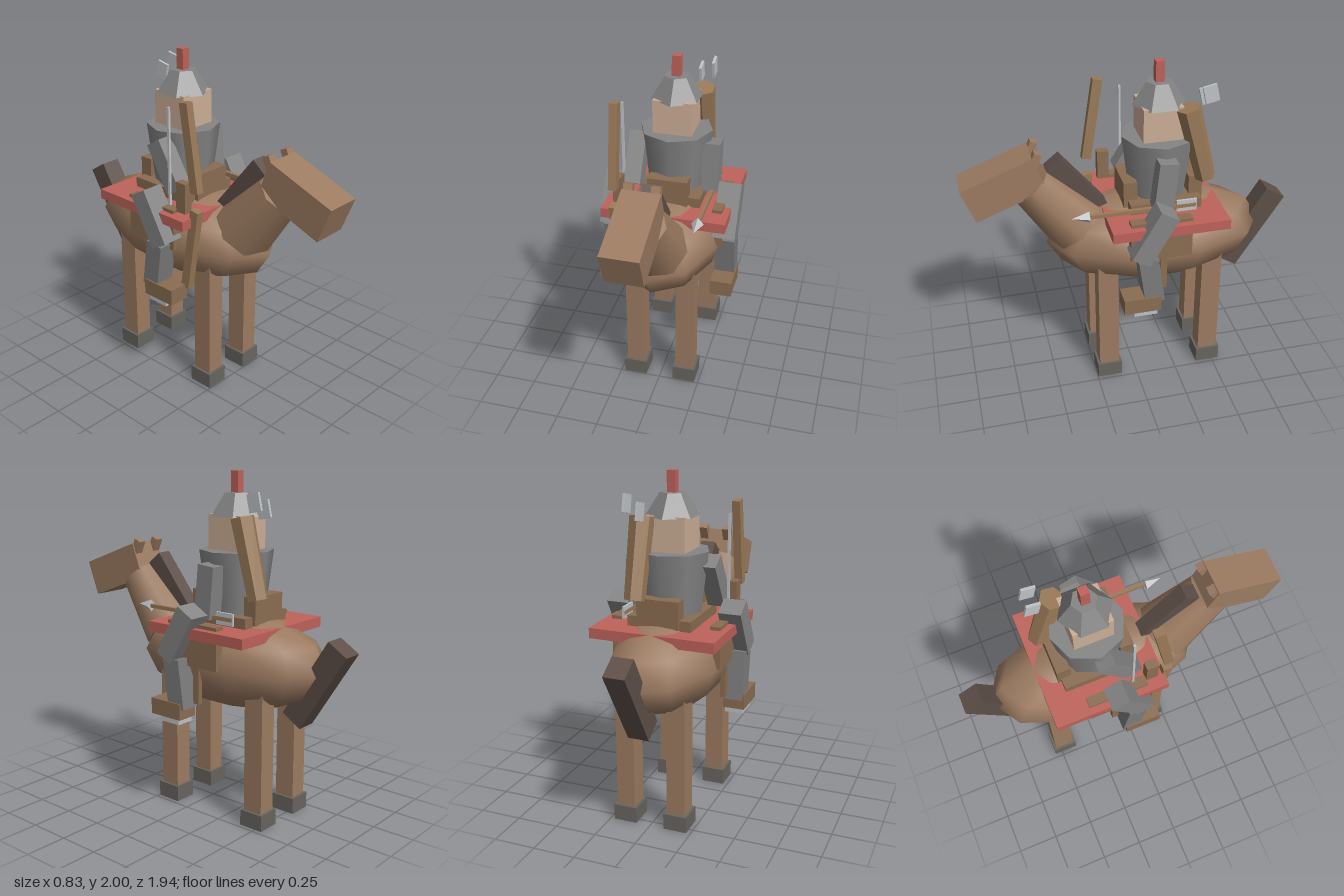
import * as THREE from 'three';

const C = {
  hide: 0x9c7b61, mane: 0x5e4f48, hoof: 0x686560, red: 0xbe625a, leather: 0x8a6d52,
  wood: 0x9a7a58, grey: 0x858585, dark: 0x7c7c7c, skin: 0xccae96, pale: 0xbfc3c6,
};

function add(parent, name, geometry, color, pos, rotX = 0, flat = true) {
  const material = new THREE.MeshStandardMaterial({ color, flatShading: flat });
  const mesh = new THREE.Mesh(geometry, material);
  mesh.name = name;
  mesh.position.set(...pos);
  mesh.rotation.x = rotX;
  parent.add(mesh);
  return mesh;
}

function box(parent, name, color, size, pos, rotX = 0) {
  return add(parent, name, new THREE.BoxGeometry(...size), color, pos, rotX);
}

function group(parent, name) {
  const g = new THREE.Group();
  g.name = name;
  parent.add(g);
  return g;
}

function buildHorse(root) {
  const horse = group(root, 'horse');

  // Barrel-shaped body, with a ring vertex at nose and tail ends
  const body = new THREE.SphereGeometry(1, 10, 6).rotateY(Math.PI / 2).scale(0.33, 0.28, 0.66);
  add(horse, 'body', body, C.hide, [0, 0.92, -0.16], 0, false);

  // Neck, head, mane and tail
  add(horse, 'neck', new THREE.CylinderGeometry(0.137, 0.19, 0.4, 8), C.hide, [0, 1.183, 0.443], 0.7, false);
  box(horse, 'head', C.hide, [0.214, 0.216, 0.435], [0, 1.357, 0.73], 0.365);
  box(horse, 'mane', C.mane, [0.09, 0.42, 0.11], [0, 1.29, 0.31], 0.68);
  box(horse, 'tail', C.mane, [0.124, 0.537, 0.137], [0, 0.87, -0.765], -0.56);

  for (const s of [1, -1]) {
    box(horse, 'ear', C.hide, [0.05, 0.08, 0.045], [s * 0.075, 1.52, 0.545], -0.4);
    for (const z of [0.17, -0.47]) {
      box(horse, 'leg', C.hide, [0.11, 0.8, 0.122], [s * 0.155, 0.45, z]);
      box(horse, 'hoof', C.hoof, [0.14, 0.095, 0.15], [s * 0.155, 0.0475, z]);
    }
  }
}

function buildSaddle(root) {
  const saddle = group(root, 'saddle');
  box(saddle, 'blanket', C.red, [0.74, 0.06, 0.686], [0, 1.12, -0.17]);
  box(saddle, 'seat', C.leather, [0.38, 0.06, 0.42], [0, 1.18, -0.18]);
  box(saddle, 'pommel', C.leather, [0.24, 0.16, 0.08], [0, 1.24, 0.015]);
  box(saddle, 'cantle', C.leather, [0.25, 0.16, 0.08], [0, 1.24, -0.37]);
  for (const s of [1, -1]) {
    box(saddle, 'flap', C.leather, [0.06, 0.25, 0.36], [s * 0.3, 1.045, -0.12]);
    box(saddle, 'stirrupStrap', C.leather, [0.03, 0.37, 0.042], [s * 0.3, 0.885, -0.137]);
    box(saddle, 'stirrup', C.pale, [0.11, 0.035, 0.14], [s * 0.345, 0.598, -0.01]);
  }
}

function buildRider(root) {
  const rider = group(root, 'rider');
  const z = -0.175;
  add(rider, 'torso', new THREE.CylinderGeometry(0.215, 0.17, 0.36, 8), C.grey, [0, 1.38, z], 0, false);
  box(rider, 'face', C.skin, [0.23, 0.22, 0.23], [0, 1.65, z]);
  add(rider, 'helmet', new THREE.CylinderGeometry(0.073, 0.156, 0.13, 6), C.grey, [0, 1.815, z]);
  box(rider, 'plume', C.red, [0.05, 0.13, 0.05], [0, 1.935, z]);

  // Left arm hangs, right arm reaches forward to the bow
  box(rider, 'leftArm', C.grey, [0.1, 0.3, 0.112], [0.22, 1.345, -0.157], -0.1);
  box(rider, 'rightArm', C.grey, [0.1, 0.31, 0.11], [-0.215, 1.375, -0.08], -0.55);

  for (const s of [1, -1]) {
    box(rider, 'thigh', C.grey, [0.135, 0.33, 0.12], [s * 0.345, 1.105, -0.06], -0.52);
    box(rider, 'shin', C.dark, [0.12, 0.29, 0.115], [s * 0.345, 0.815, -0.045], 0.14);
    box(rider, 'boot', C.leather, [0.13, 0.095, 0.22], [s * 0.348, 0.663, 0.01]);
  }
}

function buildWeapons(root) {
  // Bow on the right side: grip, two tilted limbs and a string
  const bow = group(root, 'bow');
  const x = -0.278;
  box(bow, 'bowGrip', C.leather, [0.05, 0.18, 0.07], [x, 1.25, 0.095]);
  for (const s of [1, -1]) {
    box(bow, 'bowLimb', C.wood, [0.047, 0.51, 0.057], [x, 1.25 + s * 0.305, 0.157], -s * 0.14 * 1.1);
  }
  box(bow, 'bowString', C.pale, [0.014, 1.0, 0.014], [x, 1.25, -0.014]);

  // Nocked arrow on the left side
  const arrow = group(root, 'arrow');
  const ax = 0.237;
  box(arrow, 'arrowShaft', C.wood, [0.022, 0.022, 0.62], [ax, 1.205, -0.03]);
  add(arrow, 'arrowHead', new THREE.ConeGeometry(0.036, 0.1, 4), C.pale, [ax, 1.205, 0.33], Math.PI / 2);
  box(arrow, 'arrowFeather', C.pale, [0.014, 0.07, 0.12], [ax, 1.205, -0.285]);

  // Quiver on the back with spare arrow feathers
  const quiver = group(root, 'quiver');
  add(quiver, 'quiverTube', new THREE.CylinderGeometry(0.07, 0.06, 0.46, 6), C.wood, [0.125, 1.535, -0.37], 0.254);
  box(quiver, 'spareFeather', C.pale, [0.016, 0.1, 0.08], [0.163, 1.845, -0.425], 0.22);
  box(quiver, 'spareFeather', C.pale, [0.016, 0.1, 0.08], [0.085, 1.805, -0.43], 0.22);
}

export function createModel() {
  const root = new THREE.Group();
  root.name = 'mountedArcher';
  buildHorse(root);
  buildSaddle(root);
  buildRider(root);
  buildWeapons(root);
  return root;
}
